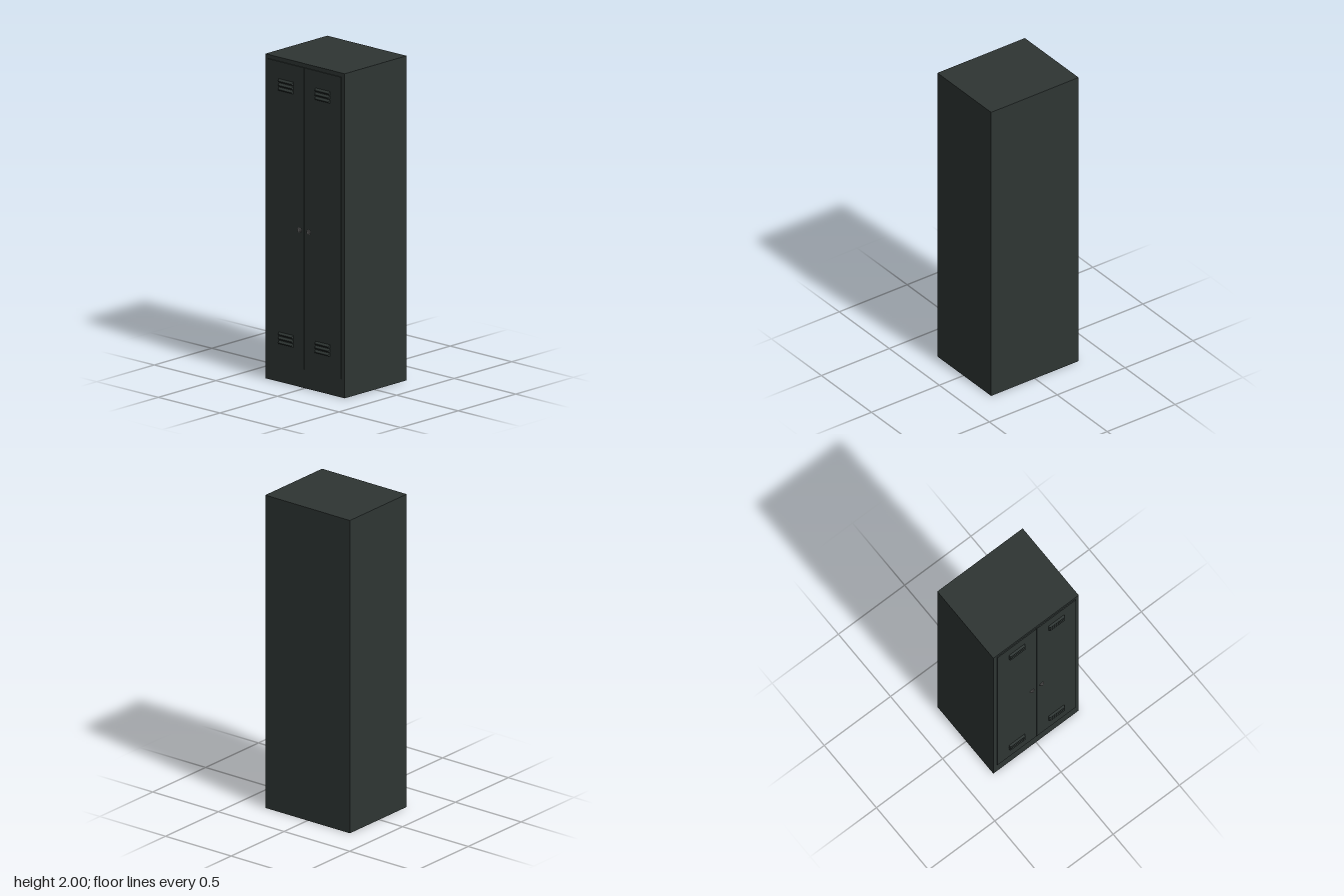
import * as THREE from 'three';

const paint = new THREE.MeshStandardMaterial({ color: 0x2e3533, flatShading: true });
const metal = new THREE.MeshStandardMaterial({ color: 0x666666 });

function add(parent, name, geometry, material, x, y, z) {
  const mesh = new THREE.Mesh(geometry, material);
  mesh.name = name;
  mesh.position.set(x, y, z);
  parent.add(mesh);
  return mesh;
}

// Wedge-shaped vent slat: a box whose outer (-x) side narrows to a thin lip
function slatGeometry() {
  const g = new THREE.BoxGeometry(0.012, 0.022, 0.118);
  const p = g.attributes.position;
  for (let i = 0; i < p.count; i++) {
    if (p.getX(i) < 0) {
      p.setY(i, p.getY(i) * 0.2 - 0.003);
      p.setZ(i, p.getZ(i) * 0.92);
    }
  }
  g.computeVertexNormals();
  return g;
}

// Stepped round knob, turned about an axis pointing to -x
function knobGeometry() {
  const profile = [[0, 0], [0.011, 0], [0.011, 0.003], [0.016, 0.003], [0.016, 0.006],
    [0.012, 0.007], [0.011, 0.012], [0.009, 0.0125], [0, 0.0125]];
  const g = new THREE.LatheGeometry(profile.map(([r, h]) => new THREE.Vector2(r, h)), 20);
  g.rotateZ(Math.PI / 2);
  const flat = g.toNonIndexed();
  flat.computeVertexNormals();
  return flat;
}

export function createModel() {
  const locker = new THREE.Group();
  locker.name = 'locker';

  // Cabinet body
  add(locker, 'cabinet', new THREE.BoxGeometry(0.537, 2, 0.644), paint, 0.0085, 1, 0);

  const doorGeo = new THREE.BoxGeometry(0.007, 1.86, 0.294);
  const slatGeo = slatGeometry();
  const knobGeo = knobGeometry();

  // Pair of doors on the -x side, each with a knob and two vents
  for (const side of [-1, 1]) {
    const door = new THREE.Group();
    door.name = side < 0 ? 'backDoor' : 'frontDoor';
    locker.add(door);
    add(door, 'doorPanel', doorGeo, paint, -0.2625, 1.045, side * 0.149);
    add(door, 'knob', knobGeo, metal, -0.2655, 0.97, side * 0.037);
    for (const ventY of [0.272, 1.833]) {
      for (const step of [-1, 0, 1]) {
        add(door, 'ventSlat', slatGeo, paint, -0.272, ventY + step * 0.026, side * 0.149);
      }
    }
  }
  return locker;
}
